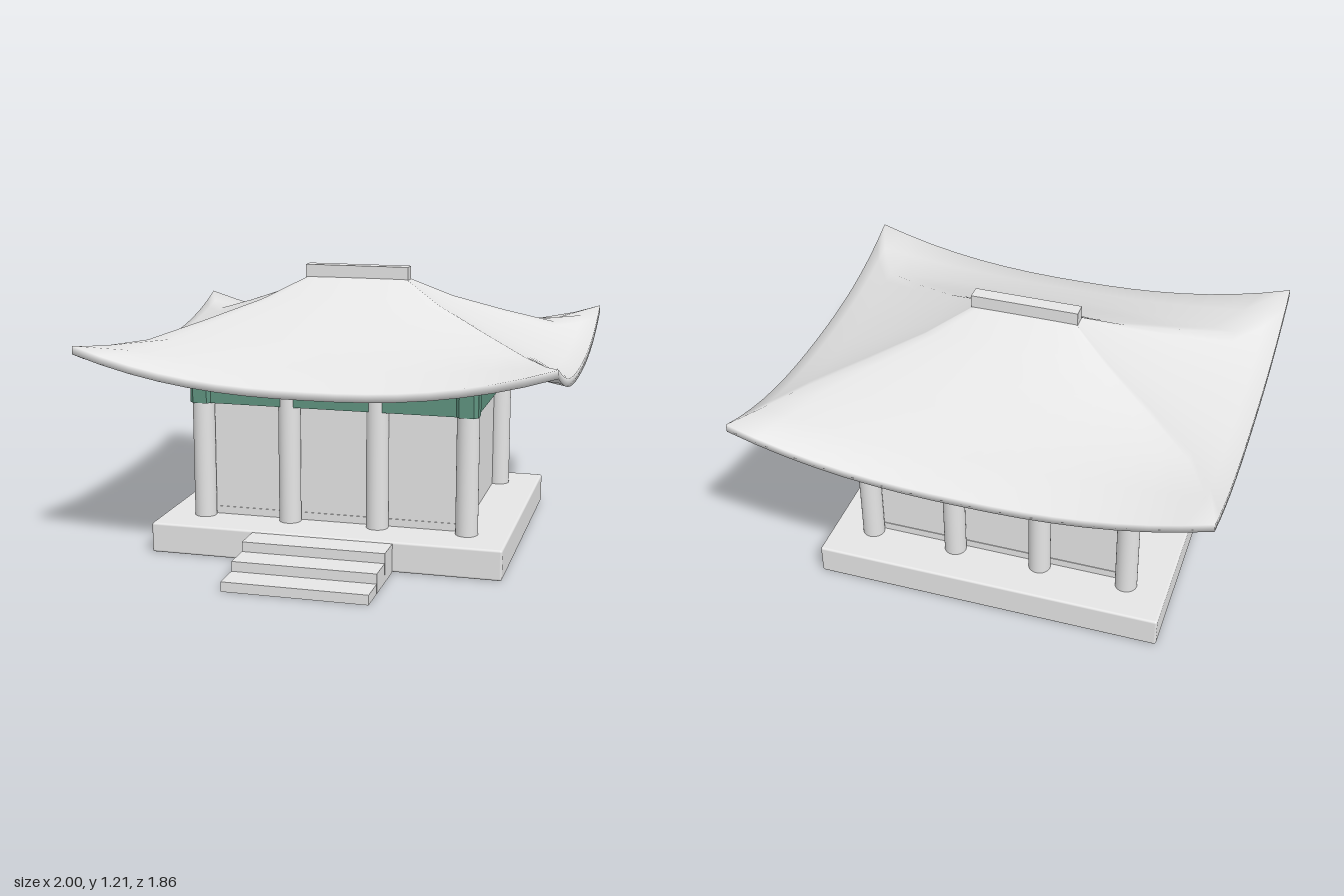
import * as THREE from 'three';
import { RoundedBoxGeometry } from 'three/addons/geometries/RoundedBoxGeometry.js';

const stone = new THREE.MeshStandardMaterial({ color: 0xe5e5e5 });
stone.name = 'pale grey';
const green = new THREE.MeshStandardMaterial({ color: 0x5f9380 });
green.name = 'beam green';

const CZ = -0.0865; // z of the hall's centre

function add(parent, name, geometry, material, x = 0, y = 0, z = 0) {
  const mesh = new THREE.Mesh(geometry, material);
  mesh.name = name;
  mesh.position.set(x, y, z);
  parent.add(mesh);
  return mesh;
}

// Box given by its size, bottom height and centre
function box(parent, name, material, w, h, d, x, y, z) {
  return add(parent, name, new THREE.BoxGeometry(w, h, d), material, x, y + h / 2, z);
}

// Curved hip roof: rectangular rings from ridge to eave, then in along a nearly flat soffit
function roofGeometry() {
  // half width, half depth, height mid front, mid end, corner, mid left end if it differs
  const rings = [
    [0.22, 0.025, 1.155, 1.155, 1.155],
    [0.40, 0.16, 1.085, 1.055, 1.062],
    [0.61, 0.31, 1.01, 0.96, 0.984],
    [0.82, 0.47, 0.932, 0.875, 0.912],
    [0.93, 0.67, 0.86, 0.835, 0.915],
    [1.0, 0.843, 0.8, 0.8, 0.94],
    [1.0, 0.843, 0.765, 0.765, 0.905],
    [0.87, 0.71, 0.768, 0.768, 0.87, 0.825],
    [0.6, 0.46, 0.78, 0.775, 0.8, 0.8],
    [0.3, 0.01, 0.79, 0.79, 0.79],
  ];
  const n = 16, around = 4 * n;
  const pos = [], index = [];
  for (const [w, d, front, end, corner, left = end] of rings) {
    for (let j = 0; j < around; j++) {
      const side = Math.floor(j / n);
      const s = (2 * (j % n)) / n - 1;
      const mid = [front, left, front, end][side];
      const y = mid + (corner - mid) * Math.abs(s) ** 2.4;
      const [x, z] = [[s * w, d], [w, -s * d], [-s * w, -d], [-w, s * d]][side];
      pos.push(x, y, z);
    }
  }
  for (let i = 0; i < rings.length - 1; i++) {
    for (let j = 0; j < around; j++) {
      const k = (j + 1) % around;
      const a = (i + 1) * around + j, b = (i + 1) * around + k;
      const c = i * around + k, e = i * around + j;
      index.push(a, b, c, a, c, e);
    }
  }
  const g = new THREE.BufferGeometry();
  g.setAttribute('position', new THREE.Float32BufferAttribute(pos, 3));
  g.setIndex(index);
  g.computeVertexNormals();
  return g;
}

// Square block with chamfered upright edges
function capitalGeometry(r, chamfer, h) {
  const q = r - chamfer;
  const shape = new THREE.Shape([
    [r, -q], [r, q], [q, r], [-q, r], [-r, q], [-r, -q], [-q, -r], [q, -r],
  ].map(([x, y]) => new THREE.Vector2(x, y)));
  return new THREE.ExtrudeGeometry(shape, { depth: h, bevelEnabled: false }).rotateX(-Math.PI / 2);
}

export function createModel() {
  const model = new THREE.Group();
  model.name = 'pavilion';

  // Platform and front steps
  add(model, 'platform', new RoundedBoxGeometry(1.535, 0.132, 1.23, 3, 0.01), stone, 0, 0.066, -0.085);
  for (let i = 0; i < 3; i++) {
    box(model, 'step', stone, 0.614, 0.125 - i * 0.0415, 0.132, 0, 0, 0.5985 + i * 0.135);
  }

  // Hall with flush sills and lintels on front and back
  const hall = new THREE.Group();
  hall.name = 'hall';
  hall.position.z = CZ;
  model.add(hall);
  box(hall, 'walls', stone, 1.12, 0.56, 0.8, 0, 0.13, 0);
  for (const s of [-1, 1]) {
    box(hall, 'sill', stone, 1.1, 0.035, 0.02, 0, 0.13, s * 0.393);
    box(hall, 'lintel', stone, 1.1, 0.06, 0.02, 0, 0.6, s * 0.393);
  }

  // Columns: corner ones stop below the capitals, inner ones overlap the beam
  const capital = capitalGeometry(0.048, 0.017, 0.1);
  for (const sz of [-1, 1]) {
    for (const x of [-0.585, -0.195, 0.195, 0.585]) {
      const corner = Math.abs(x) > 0.5;
      const h = corner ? 0.515 : 0.59;
      add(hall, 'column', new THREE.CylinderGeometry(0.048, 0.048, h, 32), stone, x, 0.13 + h / 2, sz * 0.428);
      if (corner) add(hall, 'capital', capital, green, x, 0.645, sz * 0.432);
    }
  }

  // Ring of beams
  for (const s of [-1, 1]) {
    box(hall, 'longBeam', green, 1.17, 0.1, 0.076, 0, 0.645, s * 0.428);
    box(hall, 'sideBeam', green, 0.076, 0.1, 0.86, s * 0.585, 0.645, 0);
  }

  // Roof and ridge
  add(model, 'roof', roofGeometry(), stone, 0, 0, CZ);
  box(model, 'ridge', stone, 0.468, 0.058, 0.062, 0, 1.148, CZ);
  return model;
}
